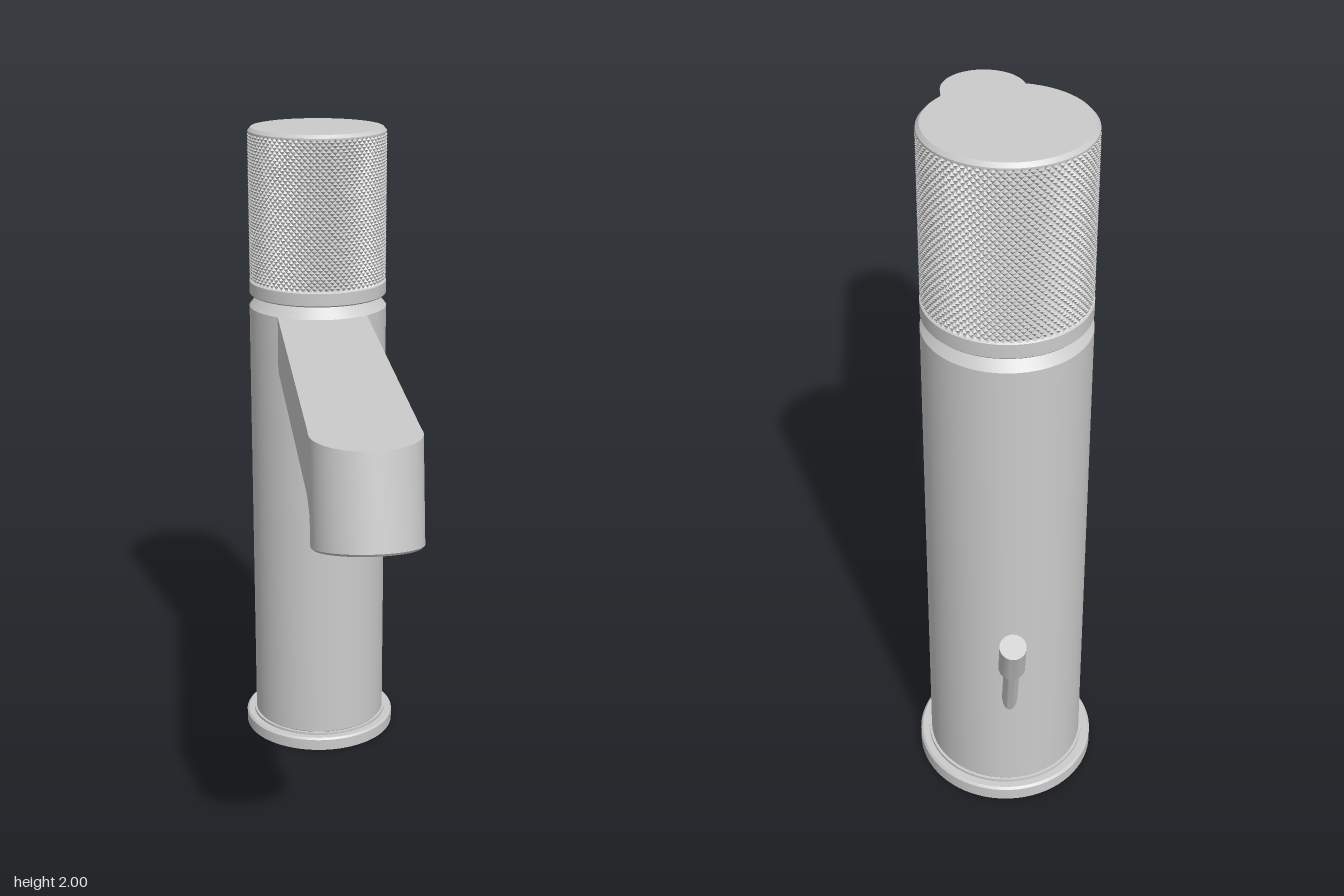
import * as THREE from 'three';
import { toCreasedNormals } from 'three/addons/utils/BufferGeometryUtils.js';
import { ParametricGeometry } from 'three/addons/geometries/ParametricGeometry.js';

const AXIS_Z = -0.583; // column centre
const R = 0.215; // column radius
const HALF = 0.137; // half width of the spout
const TOP = 1.45, UNDER = 1.28; // spout top and underside
const TILT = -0.218; // nozzle tilt about x
const NOZZLE = new THREE.Vector3(0, 1.18, 0.82);

const grey = new THREE.MeshStandardMaterial({ color: 0xcccccc });
const greyFlat = new THREE.MeshStandardMaterial({ color: 0xcccccc, flatShading: true });
const greyDouble = new THREE.MeshStandardMaterial({ color: 0xcccccc, side: THREE.DoubleSide });

function add(parent, name, geometry, material = grey) {
  const mesh = new THREE.Mesh(geometry, material);
  mesh.name = name;
  parent.add(mesh);
  return mesh;
}

function lathe(points, segments = 72) {
  return new THREE.LatheGeometry(points.map(([r, y]) => new THREE.Vector2(r, y)), segments);
}

// Change every vertex of a geometry by a rule
function reshape(geometry, rule) {
  const p = geometry.attributes.position;
  const v = new THREE.Vector3();
  for (let i = 0; i < p.count; i++) {
    v.fromBufferAttribute(p, i);
    rule(v);
    p.setXYZ(i, v.x, v.y, v.z);
  }
  return geometry;
}

// z of the nozzle axis at a given height
const nozzleZ = (y) => NOZZLE.z + (y - NOZZLE.y) * Math.tan(TILT);

// Sleeve of small diamond pyramids: peaks alternate with valleys
function knurl(radius, depth, y0, y1, cols, rows) {
  const pos = [], index = [];
  for (let j = 0; j <= rows; j++) {
    for (let i = 0; i <= cols; i++) {
      const a = (i / cols) * Math.PI * 2;
      const r = radius - ((i + j) % 2 ? depth : 0);
      pos.push(r * Math.sin(a), y0 + ((y1 - y0) * j) / rows, r * Math.cos(a));
    }
  }
  for (let j = 0; j < rows; j++) {
    for (let i = 0; i < cols; i++) {
      const a = j * (cols + 1) + i, b = a + 1, c = b + cols + 1, d = c - 1;
      // the diagonal always joins the two valleys
      if ((i + j) % 2) index.push(a, b, c, a, c, d);
      else index.push(a, b, d, b, c, d);
    }
  }
  const g = new THREE.BufferGeometry();
  g.setAttribute('position', new THREE.Float32BufferAttribute(pos, 3));
  g.setIndex(index);
  g.computeVertexNormals();
  return g;
}

// Cylinder standing between two points
function rod(parent, name, a, b, rA, rB) {
  const dir = b.clone().sub(a);
  const mesh = add(parent, name, toCreasedNormals(new THREE.CylinderGeometry(rB, rA, dir.length(), 24), 0.6));
  mesh.position.copy(a).add(b).multiplyScalar(0.5);
  mesh.quaternion.setFromUnitVectors(new THREE.Vector3(0, 1, 0), dir.normalize());
}

export function createModel() {
  const model = new THREE.Group();
  model.name = 'basinTap';

  // Upright parts share the column axis
  const upright = new THREE.Group();
  upright.name = 'upright';
  upright.position.z = AXIS_Z;
  model.add(upright);
  add(upright, 'baseFlange', toCreasedNormals(lathe([
    [0, 0], [0.247, 0], [0.247, 0.036], [0.241, 0.042], [0.222, 0.042], [0.222, 0.05], [0, 0.05],
  ]), 0.5));
  add(upright, 'column', toCreasedNormals(lathe([
    [0, 0.04], [R - 0.004, 0.046], [R, 0.052], [R, TOP], [0.188, 1.483], [0.188, 1.5], [0, 1.5],
  ]), 0.5));
  add(upright, 'knobRing', toCreasedNormals(lathe([
    [0, 1.488], [0.21, 1.488], [0.214, 1.492], [0.214, 1.53], [0.206, 1.536], [0, 1.536],
  ]), 0.5));
  add(upright, 'knurledGrip', knurl(0.214, 0.007, 1.534, 1.987, 144, 48), greyFlat);
  add(upright, 'knobCap', toCreasedNormals(lathe([
    [0, 1.98], [0.212, 1.984], [0.212, 1.99], [0.203, 2], [0, 2],
  ]), 0.5));

  // Straight spout arm, its far end cut along the nozzle axis
  const spout = new THREE.Group();
  spout.name = 'spout';
  model.add(spout);
  const arm = reshape(new THREE.BoxGeometry(HALF * 2, TOP - UNDER, 2), (v) => {
    v.y += (TOP + UNDER) / 2;
    v.z = v.z > 0 ? nozzleZ(v.y) : -0.5;
  });
  arm.computeVertexNormals();
  add(spout, 'spoutArm', arm);

  // Fillet between column and arm underside, fading at the edges
  add(spout, 'columnFillet', new ParametricGeometry((u, v, t) => {
    const x = (u * 2 - 1) * HALF;
    const f = 0.04 * Math.max(0.05, Math.min(1, (HALF - Math.abs(x)) / 0.03));
    const a = (v * Math.PI) / 2;
    t.set(x, UNDER - f + f * Math.sin(a), AXIS_Z + Math.sqrt(R * R - x * x) + f - f * Math.cos(a));
  }, 24, 8), greyDouble);

  // Fillet around the back half of the nozzle, kept within the arm width
  add(spout, 'nozzleFillet', new ParametricGeometry((u, v, t) => {
    const f = 0.04, a = u * Math.PI, b = (v * Math.PI) / 2;
    const r = 0.138 + f - f * Math.cos(b);
    const y = UNDER - f + f * Math.sin(b);
    t.set(THREE.MathUtils.clamp(r * Math.cos(a), -HALF, HALF), y, nozzleZ(y) - r * 1.02 * Math.sin(a));
  }, 32, 8), greyDouble);

  // Tilted round nozzle; its top is levelled with the arm
  const nozzle = new THREE.Group();
  nozzle.name = 'nozzle';
  nozzle.position.copy(NOZZLE);
  nozzle.rotation.x = TILT;
  spout.add(nozzle);
  const shell = reshape(lathe([
    [0, 0.035], [0.1, 0.035], [0.1, 0.012], [0.118, 0.012], [0.122, 0], [0.132, 0],
    [0.138, 0.006], [0.138, 1], [0, 1],
  ]), (v) => {
    if (v.y > 0.5) v.y = (TOP - NOZZLE.y + v.z * Math.sin(TILT)) / Math.cos(TILT);
  });
  add(nozzle, 'nozzleShell', toCreasedNormals(shell, 0.5));

  // Aerator grille inside the outlet
  for (const r of [0.03, 0.058, 0.084]) {
    const ring = add(nozzle, 'aeratorRing', new THREE.TorusGeometry(r, 0.006, 6, 40));
    ring.rotation.x = Math.PI / 2;
    ring.position.y = 0.026;
  }
  for (let i = 0; i < 6; i++) {
    const spoke = add(nozzle, 'aeratorSpoke', new THREE.BoxGeometry(0.2, 0.01, 0.008));
    spoke.rotation.y = (i * Math.PI) / 6;
    spoke.position.y = 0.028;
  }

  // Leaning waste lever at the back
  const lever = new THREE.Group();
  lever.name = 'wasteLever';
  model.add(lever);
  const at = (s) => new THREE.Vector3(0, 0.55 + s * 0.926, -0.867 - s * 0.378);
  rod(lever, 'leverRod', at(-0.28), at(0.01), 0.021, 0.021);
  rod(lever, 'leverGripTaper', at(0), at(0.012), 0.028, 0.035);
  rod(lever, 'leverGrip', at(0.012), at(0.143), 0.035, 0.035);

  return model;
}
